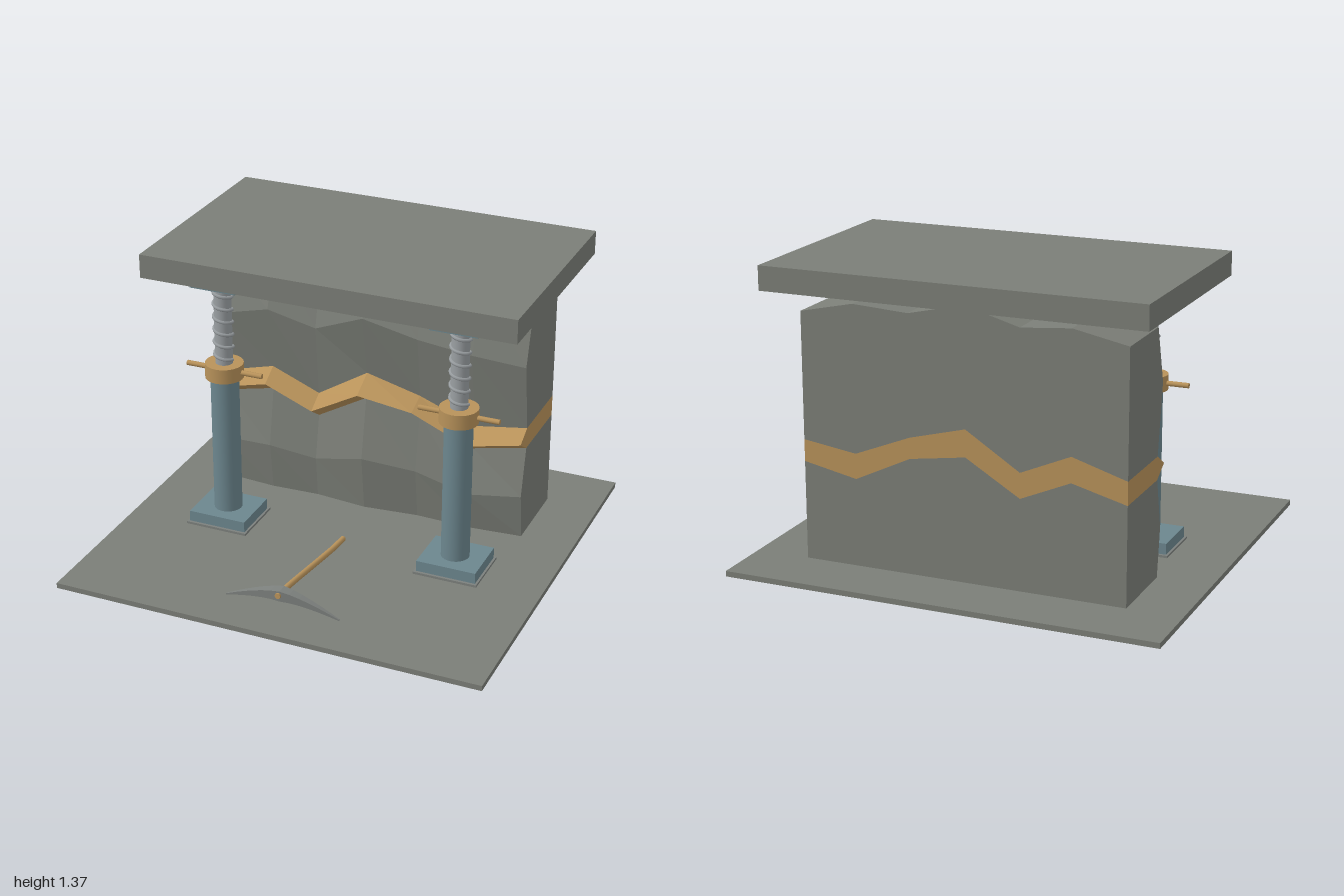
import * as THREE from 'three';

const mat = (name, color) => {
  const m = new THREE.MeshStandardMaterial({ color });
  m.name = name;
  return m;
};

export function createModel() {
  const stone = mat('stone grey', 0x7b7e77);
  const ore = mat('ore and brass', 0xb8925a);
  const iron = mat('blue iron', 0x6c868e);
  const steel = mat('pale steel', 0x9a9fa2);
  const darkSteel = mat('dark steel', 0x7c807d);

  const model = new THREE.Group();
  model.name = 'mineGallery';

  const add = (parent, name, geometry, material, x = 0, y = 0, z = 0) => {
    const mesh = new THREE.Mesh(geometry, material);
    mesh.name = name;
    mesh.position.set(x, y, z);
    parent.add(mesh);
    return mesh;
  };
  // Box and upright cylinder given by their bottom and top heights
  const box = (parent, name, material, w, d, y0, y1, x = 0, z = 0) =>
    add(parent, name, new THREE.BoxGeometry(w, y1 - y0, d), material, x, (y0 + y1) / 2, z);
  const rod = (parent, name, material, r, y0, y1) =>
    add(parent, name, new THREE.CylinderGeometry(r, r, y1 - y0, 28), material, 0, (y0 + y1) / 2, 0);

  // Floor and roof slabs
  box(model, 'floorSlab', stone, 2, 1.87, 0, 0.025);
  box(model, 'roofSlab', stone, 1.75, 1.06, 1.255, 1.365, 0, -0.25);

  // Rock face: seven columns, each row given by its heights and depths
  const xs = [-0.75, -0.5, -0.27, -0.02, 0.24, 0.5, 0.75];
  const row = (ys, zs) => xs.map((x, i) => new THREE.Vector3(x, ys[i], zs[i]));
  const rows = [
    row(xs.map(() => 0.025), [-0.27, -0.25, -0.26, -0.235, -0.26, -0.25, -0.27]),
    row([0.245, 0.26, 0.227, 0.297, 0.275, 0.217, 0.245], [-0.24, -0.22, -0.24, -0.2, -0.225, -0.215, -0.24]),
    row([0.475, 0.54, 0.44, 0.59, 0.55, 0.425, 0.475], [-0.29, -0.27, -0.28, -0.255, -0.27, -0.28, -0.29]),
    row([0.527, 0.6, 0.5, 0.65, 0.605, 0.48, 0.527], [-0.205, -0.18, -0.19, -0.145, -0.165, -0.185, -0.205]),
    row([0.58, 0.655, 0.555, 0.714, 0.645, 0.54, 0.575], [-0.29, -0.27, -0.28, -0.265, -0.27, -0.28, -0.29]),
    row([0.895, 0.965, 0.9, 1.01, 0.945, 0.91, 0.895], [-0.24, -0.22, -0.245, -0.205, -0.225, -0.235, -0.24]),
    row([1.15, 1.2, 1.18, 1.25, 1.19, 1.205, 1.15], [-0.31, -0.3, -0.31, -0.297, -0.305, -0.3, -0.31]),
  ];
  const backZ = -0.65;

  // A closed layer of the wall with three front rows and a flat back
  const layer = (parent, name, material, [f0, f1, f2]) => {
    const pts = [];
    const tri = (...p) => p.forEach((v) => pts.push(v.x, v.y, v.z));
    const quad = (a, b, c, d) => { tri(a, b, d); tri(b, c, d); };
    const toBack = (r) => r.map((v) => new THREE.Vector3(v.x, v.y, backZ));
    const b0 = toBack(f0), b2 = toBack(f2), n = xs.length - 1;
    for (let i = 0; i < n; i++) {
      quad(f0[i], f0[i + 1], f1[i + 1], f1[i]);
      quad(f1[i], f1[i + 1], f2[i + 1], f2[i]);
      quad(b0[i + 1], b0[i], b2[i], b2[i + 1]);
      quad(f2[i], f2[i + 1], b2[i + 1], b2[i]);
      quad(b0[i], b0[i + 1], f0[i + 1], f0[i]);
    }
    // End caps
    const fan = (i) => [f0[i], f1[i], f2[i], b2[i]];
    for (let k = 0; k < 3; k++) {
      tri(b0[0], fan(0)[k], fan(0)[k + 1]);
      tri(b0[n], fan(n)[k + 1], fan(n)[k]);
    }
    const g = new THREE.BufferGeometry();
    g.setAttribute('position', new THREE.Float32BufferAttribute(pts, 3));
    g.computeVertexNormals();
    add(parent, name, g, material);
  };
  const wall = new THREE.Group();
  wall.name = 'rockWall';
  model.add(wall);
  layer(wall, 'lowerRock', stone, rows.slice(0, 3));
  layer(wall, 'oreSeam', ore, rows.slice(2, 5));
  layer(wall, 'upperRock', stone, rows.slice(4, 7));

  // Screw jacks holding up the roof
  class Helix extends THREE.Curve {
    getPoint(t, target = new THREE.Vector3()) {
      const a = t * Math.PI * 2 * 5.5;
      return target.set(0.042 * Math.cos(a), 0.845 + 0.335 * t, 0.042 * Math.sin(a));
    }
  }
  const thread = new THREE.TubeGeometry(new Helix(), 132, 0.008, 6);
  for (const [name, x] of [['rightJack', -0.565], ['leftJack', 0.565]]) {
    const jack = new THREE.Group();
    jack.name = name;
    jack.position.set(x, 0, 0.1);
    model.add(jack);
    box(jack, 'footPad', darkSteel, 0.3, 0.27, 0.025, 0.036);
    box(jack, 'footPlate', iron, 0.28, 0.245, 0.036, 0.087);
    rod(jack, 'sleeve', iron, 0.065, 0.087, 0.755);
    rod(jack, 'collar', ore, 0.088, 0.755, 0.825);
    rod(jack, 'screwRod', steel, 0.04, 0.825, 1.21);
    add(jack, 'screwThread', thread, steel);
    box(jack, 'headPlate', iron, 0.22, 0.195, 1.21, 1.255);
    const bar = new THREE.CylinderGeometry(0.012, 0.012, 0.375, 12).rotateZ(Math.PI / 2);
    add(jack, 'turningBar', bar, ore, 0, 0.788, 0);
  }

  // Pickaxe lying on the floor
  const pick = new THREE.Group();
  pick.name = 'pickaxe';
  model.add(pick);
  let head = new THREE.BoxGeometry(0.54, 1, 1, 12, 1, 1);
  const p = head.attributes.position;
  for (let i = 0; i < p.count; i++) {
    const t = Math.abs(p.getX(i)) / 0.27;
    const top = 0.12 - 0.088 * t ** 1.4;
    const thick = 0.006 + 0.044 * (1 - t);
    const depth = 0.006 + 0.046 * (1 - t);
    p.setXYZ(i, p.getX(i), p.getY(i) > 0 ? top : top - thick, 0.72 + p.getZ(i) * depth);
  }
  head = head.toNonIndexed();
  head.computeVertexNormals();
  add(pick, 'pickHead', head, darkSteel);

  // Bent wooden handle from cross-section discs, closed at both ends
  const path = new THREE.CatmullRomCurve3([
    new THREE.Vector3(-0.005, 0.1, 0.755),
    new THREE.Vector3(-0.002, 0.094, 0.65),
    new THREE.Vector3(0.008, 0.064, 0.38),
    new THREE.Vector3(0.014, 0.044, 0.2),
    new THREE.Vector3(0.018, 0.04, 0.1),
  ]);
  add(pick, 'pickHandle', new THREE.TubeGeometry(path, 16, 0.0135, 10), ore);
  for (const [t, dir] of [[0, -1], [1, 1]]) {
    const cap = add(pick, 'handleEnd', new THREE.CircleGeometry(0.0135, 10), ore);
    cap.position.copy(path.getPoint(t));
    cap.lookAt(path.getPoint(t).addScaledVector(path.getTangent(t), dir));
  }
  return model;
}
